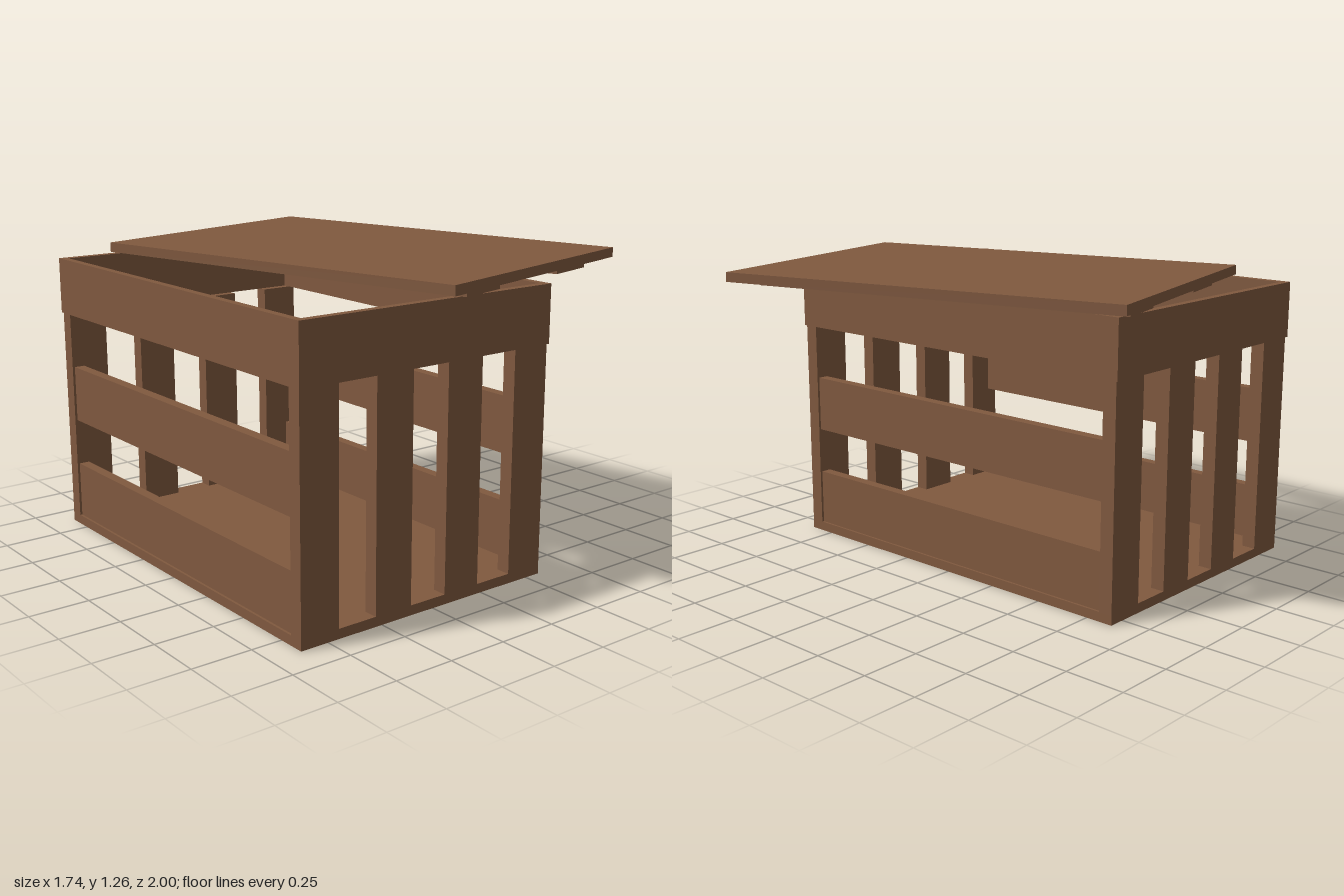
import * as THREE from 'three';

export function createModel() {
  const crate = new THREE.Group();
  crate.name = 'crate';
  const wood = new THREE.MeshStandardMaterial({ color: 0x80593f });
  wood.name = 'brown wood';

  const board = (parent, name, w, h, d, x, y, z) => {
    const mesh = new THREE.Mesh(new THREE.BoxGeometry(w, h, d), wood);
    mesh.name = name;
    mesh.position.set(x, y, z);
    parent.add(mesh);
    return mesh;
  };

  // Open box, standing to one side of the origin
  const body = new THREE.Group();
  body.name = 'body';
  body.position.x = -0.275;
  crate.add(body);

  const halfW = 0.595, halfD = 0.87, floorH = 0.04, slatTop = 0.955;
  board(body, 'floor', halfW * 2, floorH, halfD * 2, 0, floorH / 2, 0);

  for (const s of [-1, 1]) {
    // Upright slats at the front and back
    for (let i = 0; i < 4; i++) {
      board(body, 'endSlat', 0.17, slatTop - floorH, 0.06,
        -0.51 + i * 0.34, (slatTop + floorH) / 2, s * 0.84);
    }
    // Horizontal rails on the sides, set in slightly from the posts
    board(body, 'lowerRail', 0.045, 0.24, 1.62, s * 0.5625, 0.16, 0);
    board(body, 'middleRail', 0.045, 0.24, 1.62, s * 0.5625, 0.60, 0);
    // Top band around the rim
    board(body, 'endBand', 1.2, 0.237, 0.032, 0, 1.0735, s * 0.862);
    board(body, 'sideBand', 0.032, 0.237, 1.692, s * 0.584, 1.0735, 0);
  }

  // Loose lid, slid aside and turned
  const lid = new THREE.Group();
  lid.name = 'lid';
  lid.position.set(0.077, 0, 0);
  lid.rotation.y = THREE.MathUtils.degToRad(14.1);
  crate.add(lid);
  board(lid, 'lidPanel', 1.19, 0.04, 1.76, 0, 1.245, 0);
  for (const s of [-1, 1]) {
    board(lid, 'lidBatten', 0.225, 0.03, 1.66, s * 0.328, 1.21, 0);
  }
  return crate;
}
